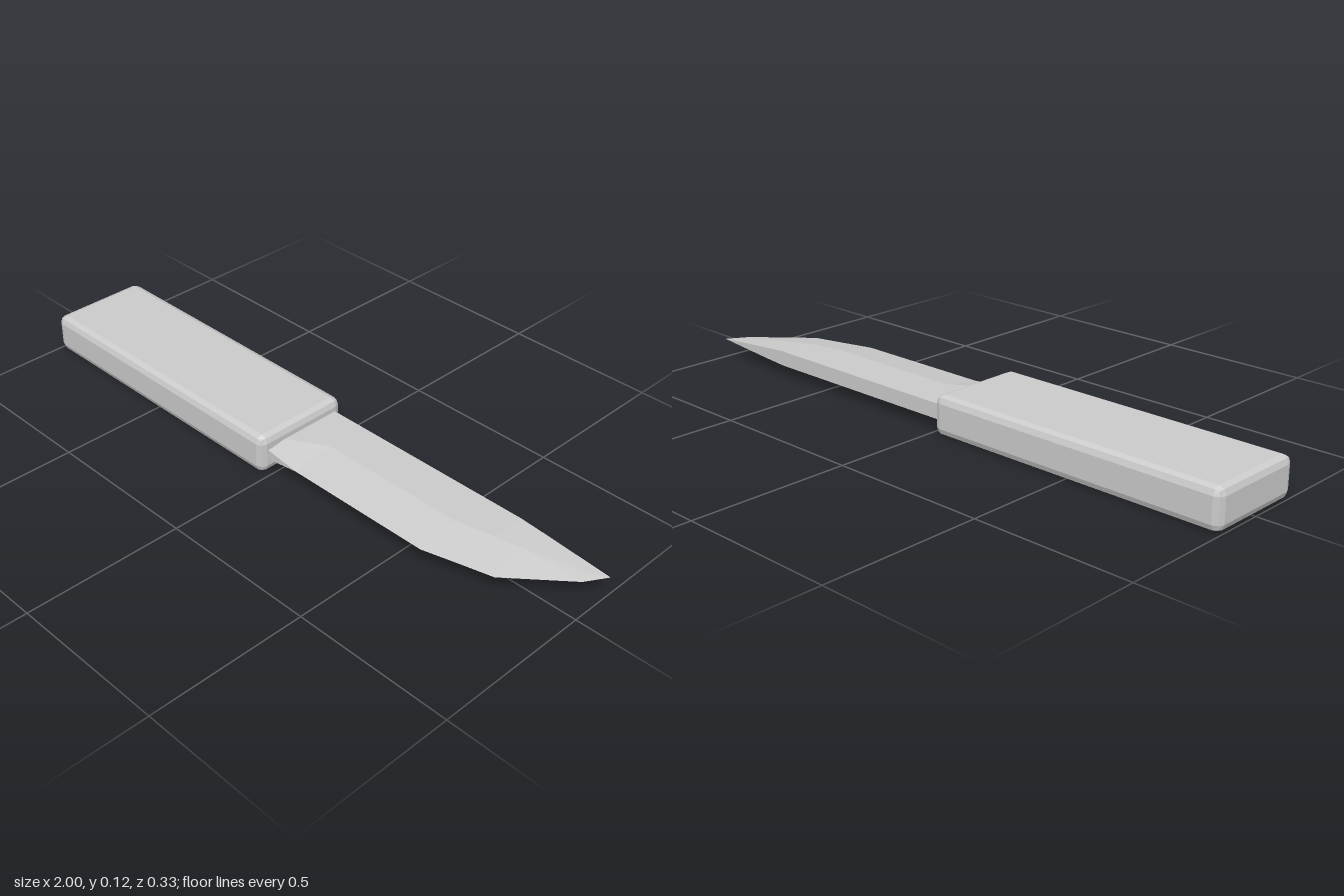
import * as THREE from 'three';
import { RoundedBoxGeometry } from 'three/addons/geometries/RoundedBoxGeometry.js';

const MID_Y = 0.061;
const SPINE_Z = -0.137;

// Blade sections from handle to tip: x, cutting edge z, edge half-thickness, ridge z, body half-thickness
const SECTIONS = [
  [-0.05, 0.135, 0.016, 0.07, 0.024],
  [-0.015, 0.135, 0.016, 0.07, 0.024],
  [0.1, 0.135, 0, 0, 0.024],
  [0.58, 0.135, 0, 0, 0.024],
  [0.7, 0.103, 0, -0.025, 0.024],
  [0.79, 0.08, 0, -0.05, 0.0175],
  [0.96, -0.07, 0, -0.11, 0.0035],
  [1.0, SPINE_Z, 0, SPINE_Z, 0],
];

// Loft six-sided sections along x, leaving out collapsed triangles
function bladeGeometry() {
  const rings = SECTIONS.map(([x, edgeZ, edgeH, ridgeZ, h]) =>
    [[edgeH, edgeZ], [h, ridgeZ], [h, SPINE_Z], [-h, SPINE_Z], [-h, ridgeZ], [-edgeH, edgeZ]]
      .map(([y, z]) => new THREE.Vector3(x, MID_Y + y, z)));
  const points = [];
  const addTriangle = (a, b, c) => {
    if (new THREE.Triangle(a, b, c).getArea() > 1e-7) points.push(a, b, c);
  };
  for (let i = 0; i < rings.length - 1; i++) {
    for (let j = 0; j < 6; j++) {
      const k = (j + 1) % 6;
      const a = rings[i][j], b = rings[i][k];
      const c = rings[i + 1][j], d = rings[i + 1][k];
      addTriangle(a, c, b);
      addTriangle(b, c, d);
    }
  }
  const geometry = new THREE.BufferGeometry().setFromPoints(points);
  geometry.computeVertexNormals();
  return geometry;
}

export function createModel() {
  const group = new THREE.Group();
  group.name = 'knife';
  const material = new THREE.MeshStandardMaterial({ color: 0xcccccc, flatShading: true });

  // Block handle with softly bevelled edges
  const handle = new THREE.Mesh(new RoundedBoxGeometry(0.985, 0.123, 0.326, 1, 0.023), material);
  handle.name = 'handle';
  handle.position.set(-0.5075, 0.0615, 0);
  group.add(handle);

  // Blade with a thick spine, ground edge and clipped tip
  const blade = new THREE.Mesh(bladeGeometry(), material);
  blade.name = 'blade';
  group.add(blade);

  return group;
}
